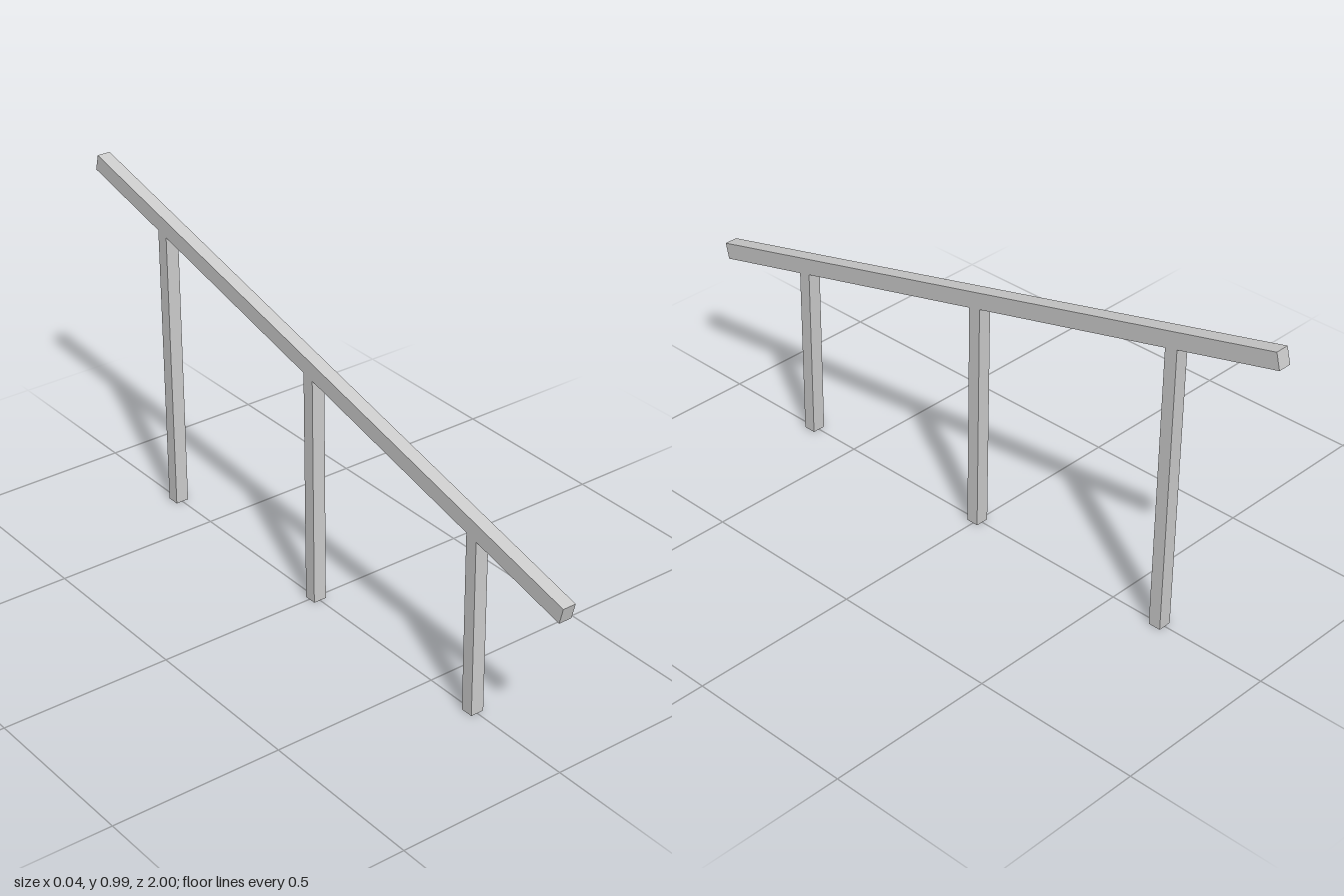
import * as THREE from 'three';

const WIDTH = 0.04;        // thickness of all bars along x
const PITCH = 0.2433;      // slope of the rail, rising towards the back
const RAIL = { length: 2.048, depth: 0.0484, y: 0.717 };
const POST = { depth: 0.0375, lean: 0.013 };

export function createModel() {
  const group = new THREE.Group();
  group.name = 'slopedHandrail';
  const material = new THREE.MeshStandardMaterial({ color: 0xcccccc, flatShading: true });

  // Sloping square rail
  const rail = new THREE.Mesh(new THREE.BoxGeometry(WIDTH, RAIL.depth, RAIL.length), material);
  rail.name = 'rail';
  rail.position.y = RAIL.y;
  rail.rotation.x = PITCH;
  group.add(rail);

  // Height of the rail's underside at a given z
  const underside = (z) => RAIL.y - RAIL.depth / 2 / Math.cos(PITCH) - z * Math.tan(PITCH);

  // Slightly leaning post, mitred to meet the rail; profile is drawn in (z, y)
  function addPost(name, z) {
    const front = z + POST.depth / 2, back = z - POST.depth / 2;
    const top = (base) => {
      const tipZ = base - POST.lean * underside(base);
      return [tipZ, underside(tipZ)];
    };
    const profile = new THREE.Shape();
    profile.moveTo(back, 0);
    profile.lineTo(front, 0);
    profile.lineTo(...top(front));
    profile.lineTo(...top(back));
    profile.closePath();
    const geometry = new THREE.ExtrudeGeometry(profile, { depth: WIDTH, bevelEnabled: false });
    geometry.translate(0, 0, -WIDTH / 2).rotateY(-Math.PI / 2);
    const post = new THREE.Mesh(geometry, material);
    post.name = name;
    group.add(post);
  }

  addPost('frontPost', 0.667);
  addPost('middlePost', 0.003);
  addPost('backPost', -0.661);

  return group;
}
